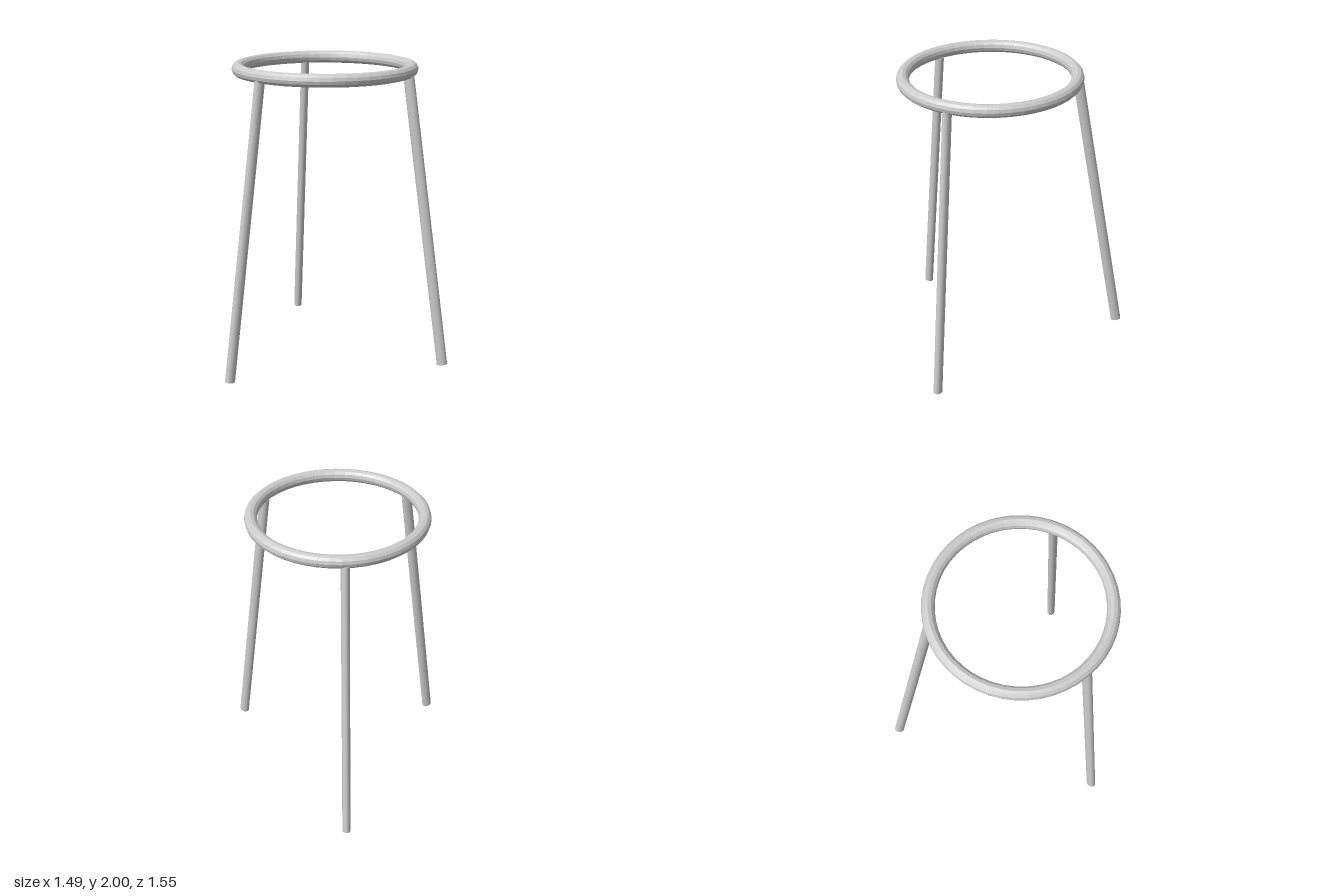
import * as THREE from 'three';

const material = new THREE.MeshStandardMaterial({ color: 0xcccccc });
const facetedMaterial = new THREE.MeshStandardMaterial({ color: 0xcccccc, flatShading: true });

// Oval leg between two points, its wide axis pointing along the splay
function makeLeg(name, top, foot) {
  const a = new THREE.Vector3(...top);
  const b = new THREE.Vector3(...foot);
  const up = a.clone().sub(b);
  const geometry = new THREE.CylinderGeometry(1, 1, up.length(), 24);
  geometry.scale(0.035, 1, 0.028);

  up.normalize();
  const tangent = new THREE.Vector3(-up.x, 0, -up.z).cross(up).normalize();
  const radial = up.clone().cross(tangent);
  const leg = new THREE.Mesh(geometry, material);
  leg.name = name;
  leg.quaternion.setFromRotationMatrix(new THREE.Matrix4().makeBasis(radial, up, tangent));
  leg.position.copy(a).add(b).multiplyScalar(0.5);
  return leg;
}

export function createModel() {
  const group = new THREE.Group();
  group.name = 'stool';

  // Open seat ring
  const ring = new THREE.Mesh(new THREE.TorusGeometry(0.564, 0.042, 12, 48), facetedMaterial);
  ring.name = 'seatRing';
  ring.rotation.x = -Math.PI / 2;
  ring.position.set(0, 1.958, 0.168);
  group.add(ring);

  // Three splayed legs
  group.add(
    makeLeg('backLeg', [-0.022, 1.93, -0.405], [-0.022, 0.007, -0.738]),
    makeLeg('leftLeg', [0.479, 1.93, 0.472], [0.713, 0.007, 0.602]),
    makeLeg('rightLeg', [-0.474, 1.93, 0.474], [-0.715, 0.007, 0.608])
  );
  return group;
}
